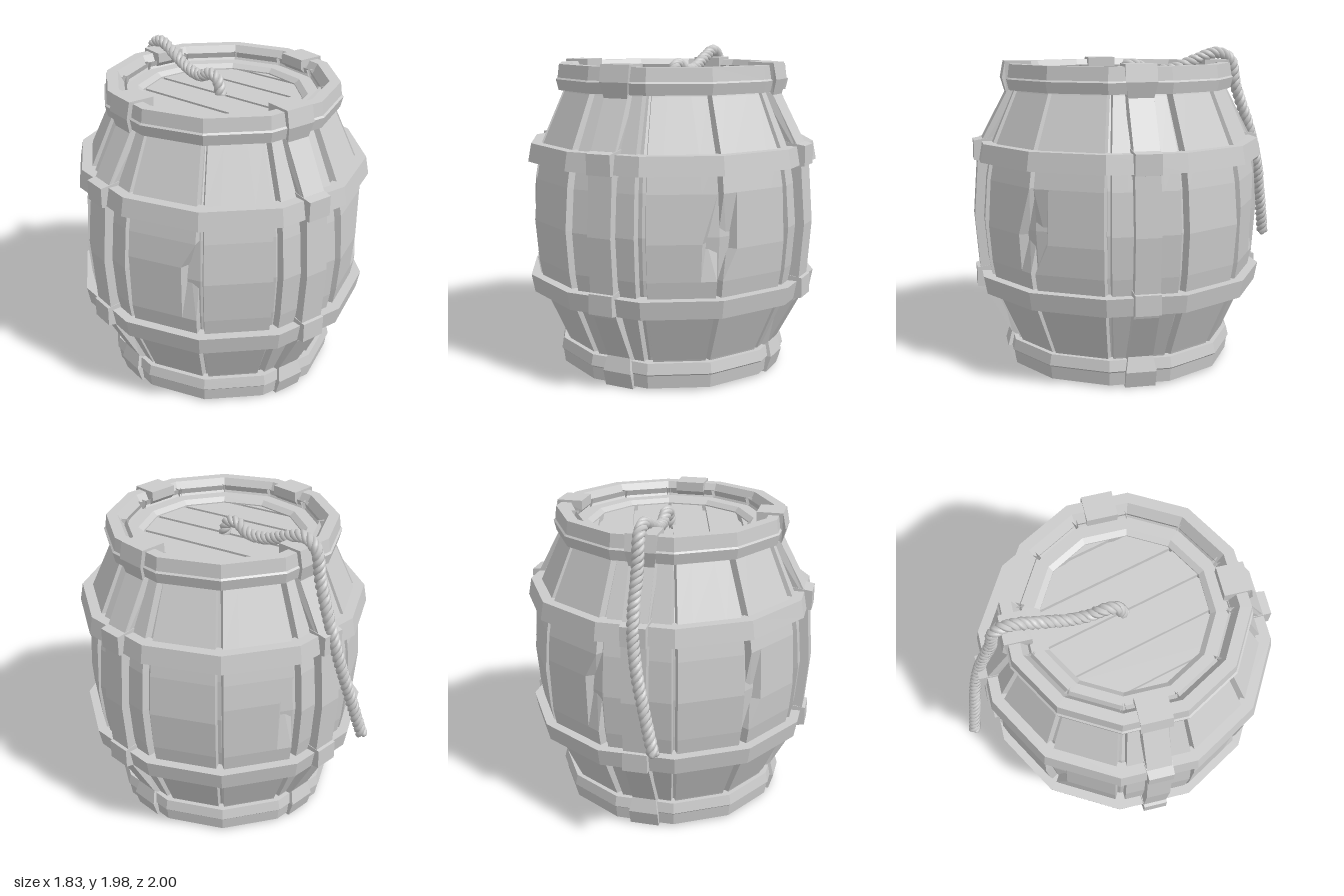
import * as THREE from 'three';

const H = 1.9, SIDES = 12, STEP = Math.PI * 2 / SIDES, TAN = Math.tan(STEP / 2);
const mat = new THREE.MeshStandardMaterial({ color: 0xcccccc, flatShading: true, side: THREE.DoubleSide });
const smoothMat = new THREE.MeshStandardMaterial({ color: 0xcccccc });

function add(parent, name, geo, material = mat) {
  if (material === mat) {
    if (geo.index) geo = geo.toNonIndexed();
    geo.computeVertexNormals();
  }
  const mesh = new THREE.Mesh(geo, material);
  mesh.name = name;
  parent.add(mesh);
  return mesh;
}

// Twelve-sided ring from [apothem, y] points, flat sides facing the axes
function ring(points) {
  const pts = points.map(([r, y]) => new THREE.Vector2(r / Math.cos(STEP / 2), y));
  return new THREE.LatheGeometry(pts, SIDES, STEP / 2);
}

// Bulge of the barrel wall (apothem at height y)
const WALL = [[0.05, 0.62], [0.18, 0.665], [0.5, 0.805], [0.7, 0.84], [0.95, 0.86],
  [1.2, 0.84], [1.4, 0.805], [1.72, 0.665], [1.85, 0.62]];
function wall(y) {
  let i = 1;
  while (i < WALL.length - 1 && y > WALL[i][0]) i++;
  const [y0, r0] = WALL[i - 1], [y1, r1] = WALL[i];
  return r0 + (r1 - r0) * (y - y0) / (y1 - y0);
}

// One stave facing +z; chip = { side, y } knocks a dent into one long edge
function staveGeometry(shrinkL, shrinkR, chip) {
  const ys = [0.05, 0.18, 0.5, 0.7, 0.95, 1.2, 1.4, 1.72, 1.85];
  if (chip) ys[4] = chip.y;
  const pos = [], idx = [], n = 6;
  ys.forEach((y, j) => {
    const r = wall(y), k = r / 0.86;
    const l = -r * TAN + shrinkL * k, e = r * TAN - shrinkR * k;
    const dent = s => (chip && chip.side === s && j === 4 ? 0.06 : 0);
    const section = [[l, r - 0.07], [l + dent(-1), r - dent(-1)], [l + 0.09, r],
      [e - 0.09, r], [e - dent(1), r - dent(1)], [e, r - 0.07]];
    section.forEach(([x, z]) => pos.push(x, y, z));
    if (j) for (let i = 0; i < n - 1; i++) {
      const a = (j - 1) * n + i, b = a + 1, c = a + n, d = c + 1;
      idx.push(a, b, d, a, d, c);
    }
  });
  const g = new THREE.BufferGeometry();
  g.setAttribute('position', new THREE.Float32BufferAttribute(pos, 3));
  g.setIndex(idx);
  return g;
}

// End hoop, recessed ledge and diagonal boards, built for the top end
function makeEnd(name, angle) {
  const end = new THREE.Group();
  end.name = name;
  add(end, 'endHoop', ring([[0.63, 1.73], [0.69, 1.73], [0.705, 1.795], [0.695, 1.805],
    [0.685, 1.885], [0.62, 1.885], [0.575, 1.8], [0.5, 1.8], [0.47, 1.775], [0.47, 1.72]]));
  add(end, 'headBacking', ring([[0.6, 1.735], [0, 1.735]]));
  const boards = new THREE.Group();
  boards.name = 'headBoards';
  boards.rotation.y = angle;
  const cuts = [-0.52, -0.44, -0.225, 0, 0.225, 0.44, 0.52];
  for (let i = 1; i < cuts.length; i++) {
    const a = cuts[i - 1], b = cuts[i];
    const near = Math.min(Math.abs(a), Math.abs(b));
    const len = 2 * Math.sqrt(0.52 * 0.52 - near * near);
    add(boards, 'headBoard', new THREE.BoxGeometry(b - a - 0.024, 0.035, len))
      .position.set((a + b) / 2, 1.75, 0);
  }
  end.add(boards);
  return end;
}

// Vertical strap following the bulge and folding over both rims
function strapGeometry() {
  const outline = [[0.55, 0], [0.7, 0], [0.73, 0.1], [0.705, 0.19], [0.855, 0.47], [0.885, 0.56],
    [0.915, 0.95], [0.885, 1.34], [0.855, 1.43], [0.705, 1.71], [0.73, 1.8], [0.71, 1.9], [0.55, 1.9],
    [0.55, 1.84], [0.6, 1.79], [0.77, 1.4], [0.83, 0.95], [0.77, 0.5], [0.6, 0.11], [0.55, 0.06]];
  const shape = new THREE.Shape(outline.map(([x, y]) => new THREE.Vector2(x, y)));
  const g = new THREE.ExtrudeGeometry(shape, { depth: 0.15, bevelEnabled: false });
  g.translate(0, 0, -0.075);
  const p = g.attributes.position;
  for (let i = 0; i < p.count; i++) {
    const y = p.getY(i);
    if (y < 0.15 || y > H - 0.15) p.setZ(i, p.getZ(i) * 1.22);
  }
  return g;
}

// Clip where a strap crosses a hoop, narrower on its outer face
function clipGeometry() {
  const g = new THREE.BoxGeometry(0.12, 0.16, 0.165);
  const p = g.attributes.position;
  for (let i = 0; i < p.count; i++) if (p.getX(i) > 0) {
    p.setY(i, p.getY(i) * 0.75);
    p.setZ(i, p.getZ(i) * 0.92);
  }
  return g;
}

// A strand winding around the rope's centre line
class Strand extends THREE.Curve {
  constructor(path, phase) {
    super();
    this.path = path;
    this.phase = phase;
  }
  getPoint(t, target = new THREE.Vector3()) {
    const tangent = this.path.getTangentAt(t);
    const n = new THREE.Vector3(1, 0, 0).cross(tangent).normalize();
    const b = tangent.clone().cross(n);
    const a = this.phase + t * Math.PI * 2 * 17;
    return target.copy(this.path.getPointAt(t))
      .addScaledVector(n, Math.cos(a) * 0.019).addScaledVector(b, Math.sin(a) * 0.019);
  }
}

function makeRope() {
  const rope = new THREE.Group();
  rope.name = 'rope';
  const path = new THREE.CatmullRomCurve3([[0, 1.76, 0.075], [0, 1.85, 0.04], [0, 1.87, -0.03],
    [0, 1.83, -0.13], [0, 1.84, -0.27], [0, 1.9, -0.43], [0, 1.943, -0.57], [0, 1.9, -0.66],
    [0, 1.72, -0.705], [0, 1.42, -0.81], [-0.03, 1.2, -0.87], [-0.09, 0.95, -0.92],
    [-0.15, 0.72, -0.965]].map(p => new THREE.Vector3(...p)));
  for (let i = 0; i < 3; i++) {
    const strand = new Strand(path, i * Math.PI * 2 / 3);
    add(rope, 'ropeStrand', new THREE.TubeGeometry(strand, 260, 0.02, 6), smoothMat);
    for (const t of [0, 1])
      add(rope, 'strandEnd', new THREE.SphereGeometry(0.02, 6, 5), smoothMat).position.copy(strand.getPoint(t));
  }
  return rope;
}

export function createModel() {
  const model = new THREE.Group();
  model.name = 'barrelWithRope';
  const barrel = new THREE.Group();
  barrel.name = 'barrel';
  barrel.position.z = 0.085;
  model.add(barrel);

  // Wall seen in the gaps between the staves
  add(barrel, 'innerWall', ring(WALL.map(([y, r]) => [r - 0.05, y])));

  // Staves, a few with chipped edges
  const chips = { 10: { side: 1, y: 1.04 }, 1: { side: 1, y: 0.92 }, 2: { side: -1, y: 0.88 },
    8: { side: -1, y: 0.88 }, 5: { side: 1, y: 1.04 } };
  for (let i = 0; i < SIDES; i++) {
    const l = 0.024 + 0.012 * Math.sin(i * 2.3), r = 0.026 + 0.012 * Math.cos(i * 1.7);
    add(barrel, 'stave', staveGeometry(l, r, chips[i])).rotation.y = i * STEP;
  }

  // Two hoops around the belly
  for (const y of [0.545, 1.36]) {
    const s = y < 1 ? 1 : -1;
    add(barrel, 'bellyHoop', ring([[0.77, y - 0.055], [0.87 - 0.01 * s, y - 0.055],
      [0.87 + 0.01 * s, y + 0.055], [0.77, y + 0.055]]));
  }

  // Ends
  barrel.add(makeEnd('topEnd', 0.25));
  const bottom = makeEnd('bottomEnd', -0.25);
  bottom.rotation.x = Math.PI;
  bottom.position.y = H;
  barrel.add(bottom);

  // Four straps with their clips
  for (let i = 0; i < 4; i++) {
    const strap = new THREE.Group();
    strap.name = 'strapAssembly';
    strap.rotation.y = i * Math.PI / 2;
    add(strap, 'strap', strapGeometry());
    for (const y of [0.56, 1.36]) add(strap, 'strapClip', clipGeometry()).position.set(0.85, y, 0);
    barrel.add(strap);
  }

  model.add(makeRope());
  return model;
}
